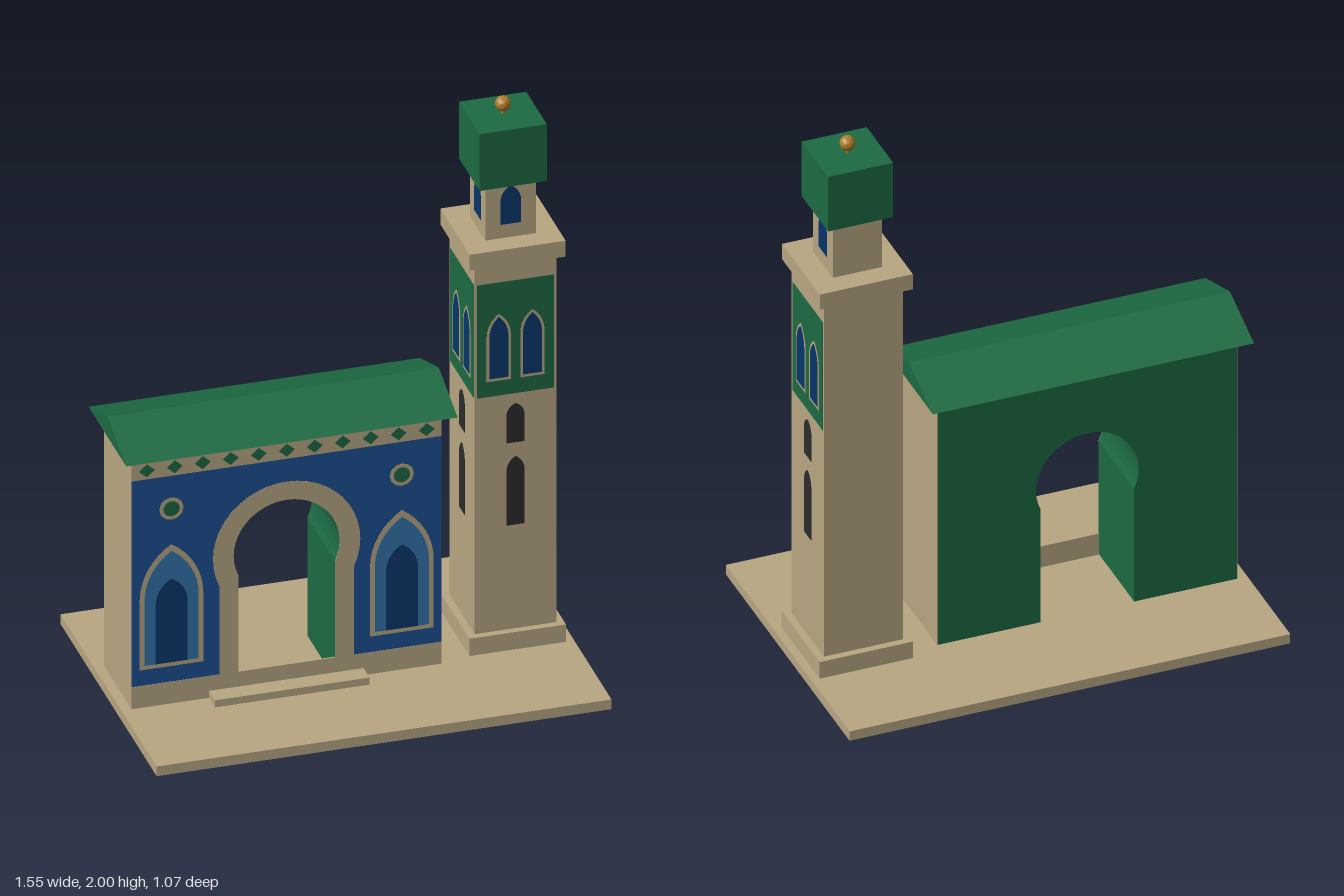
import * as THREE from 'three';

const mat = (name, color) => Object.assign(new THREE.MeshStandardMaterial({ color }), { name });
const V = (x, y) => new THREE.Vector2(x, y);

export function createModel() {
  const stone = mat('stone', 0xb8a682);
  stone.side = THREE.DoubleSide; // the slab is an open tray underneath
  const green = mat('green', 0x1d6a43);
  const blue = mat('blue', 0x1b4f92);
  const sky = mat('light blue', 0x3174ab);
  const navy = mat('navy', 0x06366b);
  const dark = mat('dark slit', 0x2c2c2c);
  const gold = mat('gold', 0xb07c26);
  gold.flatShading = true;

  const root = new THREE.Group();
  root.name = 'gateAndTower';
  const group = (name, parent = root) => {
    const g = new THREE.Group();
    g.name = name;
    parent.add(g);
    return g;
  };
  const add = (parent, name, geo, m) => {
    const mesh = new THREE.Mesh(geo, m);
    mesh.name = name;
    parent.add(mesh);
    return mesh;
  };
  // box given by its limits
  const box = (parent, name, m, x0, x1, y0, y1, z0, z1) => {
    const b = add(parent, name, new THREE.BoxGeometry(x1 - x0, y1 - y0, z1 - z0), m);
    b.position.set((x0 + x1) / 2, (y0 + y1) / 2, (z0 + z1) / 2);
    return b;
  };
  // outline in x/y, extruded from z by depth
  const plate = (parent, name, m, pts, z, depth) => {
    const geo = new THREE.ExtrudeGeometry(new THREE.Shape(pts), { depth, bevelEnabled: false });
    geo.translate(0, 0, z);
    return add(parent, name, geo, m);
  };
  const rect = (x0, x1, y0, y1) => [V(x0, y0), V(x1, y0), V(x1, y1), V(x0, y1)];
  const disc = (x, y, rx, ry, n) => Array.from({ length: n }, (_, i) => {
    const a = (i / n) * Math.PI * 2;
    return V(x + Math.cos(a) * rx, y + Math.sin(a) * ry);
  });
  // pointed arch window: two arcs meeting at the top
  const pointed = (x, w, y0, spring, top, n = 8) => {
    const rise = top - spring;
    const r = (rise * rise + w * w) / (2 * w);
    const end = Math.asin(Math.min(1, rise / r));
    const side = [];
    for (let i = 0; i < n; i++) {
      const a = (end * i) / n;
      side.push([w - r + r * Math.cos(a), spring + r * Math.sin(a)]);
    }
    return [V(x + w, y0), ...side.map(([a, b]) => V(x + a, b)), V(x, top),
      ...side.reverse().map(([a, b]) => V(x - a, b)), V(x - w, y0)];
  };
  // horseshoe arch, listed from lower right to lower left
  const CX = -0.211;
  const horseshoe = (w, r, cy, y0, n = 28) => {
    const dip = Math.acos(w / r);
    const pts = [V(CX + w, y0)];
    for (let i = 0; i <= n; i++) {
      const a = -dip + ((Math.PI + 2 * dip) * i) / n;
      pts.push(V(CX + r * Math.cos(a), cy + r * Math.sin(a)));
    }
    pts.push(V(CX - w, y0));
    return pts;
  };
  const inner = (y0) => horseshoe(0.164, 0.18, 0.548, y0);
  const outer = (y0) => horseshoe(0.228, 0.25, 0.545, y0);
  const wall = (x0, x1, y0, y1, hole) =>
    [V(x1, y0), V(x1, y1), V(x0, y1), V(x0, y0), ...hole.reverse()];

  // ground slab, open underneath, and doorstep
  const slab = box(root, 'groundSlab', stone, -0.772, 0.772, 0, 0.036, -0.535, 0.535);
  slab.geometry.setIndex([...slab.geometry.index.array].filter((_, i) => i < 18 || i >= 24));
  slab.geometry.clearGroups();
  box(root, 'doorstep', stone, -0.475, 0.05, 0.036, 0.062, 0.14, 0.21);

  // gate body, stone ends and front cladding
  const gate = group('gate');
  const X0 = -0.738, X1 = 0.315, F = 0.141;
  plate(gate, 'gateBody', green, wall(X0 + 0.003, X1 - 0.003, 0.036, 0.972, inner(0.036)), -0.165, F + 0.165);
  box(gate, 'rightEnd', stone, X0, X0 + 0.003, 0.036, 0.972, -0.165, F);
  box(gate, 'leftEnd', stone, X1 - 0.003, X1, 0.036, 0.972, -0.165, F);
  box(gate, 'plinth', stone, X0, X1, 0.036, 0.117, F - 0.004, F + 0.002);
  plate(gate, 'bluePanel', blue, wall(X0, X1, 0.117, 0.972, outer(0.117)), F, 0.001);
  plate(gate, 'archSurround', stone, [...outer(0.117), ...inner(0.117).reverse()], F, 0.002);

  // frieze with diamonds
  plate(gate, 'frieze', stone, rect(X0, X1, 0.88, 0.943), F, 0.002);
  for (let i = -5; i <= 5; i++)
    plate(gate, 'friezeDiamond', green, disc(CX + i * 0.095, 0.912, 0.027, 0.024, 4), F, 0.003);

  // niches and rosettes on both sides of the arch
  for (const s of [-1, 1]) {
    const x = CX + s * 0.391;
    plate(gate, 'nicheFrame', stone, pointed(x, 0.108, 0.175, 0.43, 0.626), F, 0.002);
    plate(gate, 'nicheField', sky, pointed(x, 0.092, 0.19, 0.43, 0.602), F, 0.003);
    plate(gate, 'nicheWindow', navy, pointed(x, 0.054, 0.19, 0.41, 0.5), F, 0.004);
    plate(gate, 'rosetteRing', stone, disc(x, 0.758, 0.041, 0.041, 12), F, 0.002);
    plate(gate, 'rosetteCentre', green, disc(x, 0.758, 0.028, 0.028, 12), F, 0.003);
  }

  // gabled roof
  const roofGeo = new THREE.ExtrudeGeometry(
    new THREE.Shape([V(-0.2, 0.972), V(0.22, 0.972), V(0.01, 1.047)]),
    { depth: 1.125, bevelEnabled: false });
  roofGeo.rotateY(Math.PI / 2).translate(-0.773, 0, 0);
  add(gate, 'gateRoof', roofGeo, green);

  // tower, stacked from square blocks
  const tower = group('tower');
  tower.position.set(0.58, 0, -0.043);
  const S = 0.139, L = 0.086;
  const block = (name, m, h, y0, y1) => box(tower, name, m, -h, h, y0, y1, -h, h);
  block('towerPlinth', stone, 0.164, 0.036, 0.1);
  block('towerShaft', stone, S, 0.1, 1.464);
  block('towerCornice', stone, 0.163, 1.464, 1.523);
  block('lantern', stone, L, 1.523, 1.726);
  block('lanternRoof', green, 0.114, 1.726, 1.937);

  // gold finial
  const rod = add(tower, 'finialRod', new THREE.CylinderGeometry(0.006, 0.006, 0.03, 8), gold);
  rod.position.y = 1.945;
  const ball = add(tower, 'finialBall', new THREE.IcosahedronGeometry(0.027, 1), gold);
  ball.position.y = 1.973;

  // decorated faces: front and both sides
  [0, 1, -1].forEach((turn, i) => {
    const face = group(['frontFace', 'leftFace', 'rightFace'][i], tower);
    face.rotation.y = turn * Math.PI / 2;
    plate(face, 'greenPanel', green, rect(-0.131, 0.131, 0.972, 1.391), S, 0.001);
    for (const s of [-1, 1]) {
      plate(face, 'windowFrame', stone, pointed(s * 0.057, 0.041, 1.028, 1.193, 1.275), S, 0.002);
      plate(face, 'window', navy, pointed(s * 0.057, 0.032, 1.038, 1.193, 1.264), S, 0.003);
    }
    plate(face, 'upperSlit', dark, pointed(0, 0.031, 0.79, 0.89, 0.935), S, 0.001);
    plate(face, 'lowerSlit', dark, pointed(0, 0.031, 0.485, 0.685, 0.739), S, 0.001);
    plate(face, 'lanternWindow', navy, pointed(0, 0.035, 1.573, 1.657, 1.714), L, 0.001);
  });

  return root;
}
